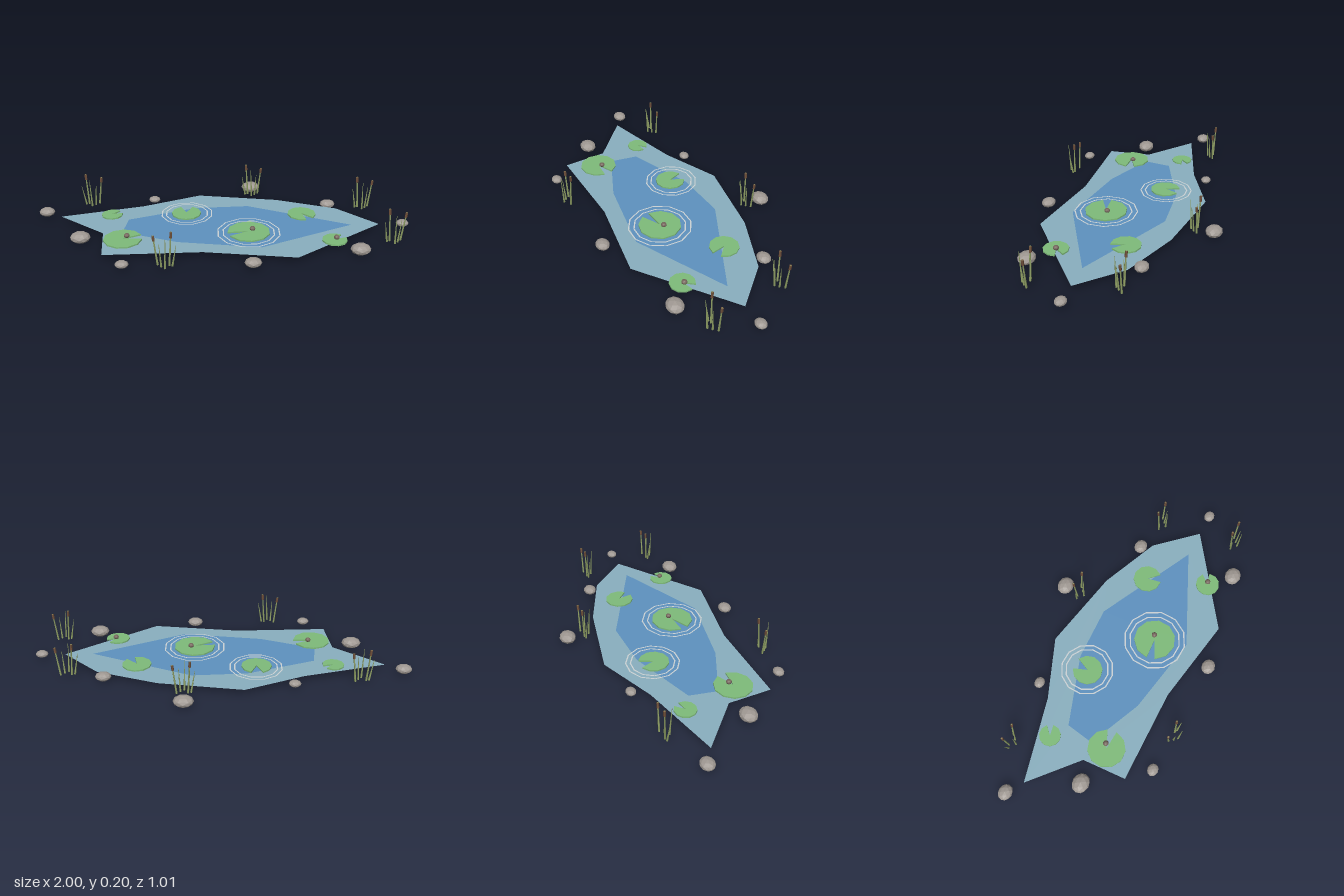
import * as THREE from 'three';

const mat = (name, color, double) => {
  const m = new THREE.MeshStandardMaterial({ color, flatShading: true });
  m.name = name;
  if (double) m.side = THREE.DoubleSide;
  return m;
};

export function createModel() {
  const pond = new THREE.Group();
  pond.name = 'pond';
  const shallow = mat('shallowWater', 0x8ab0c0, true);
  const deep = mat('deepWater', 0x5e92c0, true);
  const leaf = mat('lilyGreen', 0x7fbc7a);
  const stone = mat('stoneGrey', 0x9f9892);
  const reed = mat('reedGreen', 0x8c9c62);
  const brown = mat('cattailBrown', 0x70503a);
  const foam = mat('rippleGrey', 0xcdd3d6, true);
  const bud = mat('budBrown', 0x77685e);

  const add = (name, geometry, material, parent = pond) => {
    const mesh = new THREE.Mesh(geometry, material);
    mesh.name = name;
    parent.add(mesh);
    return mesh;
  };
  const WATER = 0.027;

  // Water: a shallow rim around a deep middle, points given as [x, z]
  const outline = [[-0.87, -0.085], [-0.43, -0.21], [-0.12, -0.35], [0.32, -0.28], [0.64, -0.16],
    [0.84, 0.04], [0.37, 0.4], [-0.1, 0.335], [-0.6, 0.355], [-0.62, 0.12]];
  const middle = [[-0.5, -0.04], [-0.14, -0.18], [0.15, -0.2], [0.69, 0.045],
    [0.2, 0.29], [-0.23, 0.225], [-0.52, 0.11]];
  const toPoints = (list) => list.map(([x, z]) => new THREE.Vector2(x, -z)).reverse();
  const flat = (shape) => new THREE.ShapeGeometry(shape).rotateX(-Math.PI / 2);
  const rim = new THREE.Shape(toPoints(outline));
  rim.holes.push(new THREE.Path(toPoints(middle)));
  add('shallowWater', flat(rim), shallow).position.y = WATER;
  add('deepWater', flat(new THREE.Shape(toPoints(middle))), deep).position.y = WATER;

  // Lily pads: x, z, radius, notch direction in degrees, half notch angle
  const pads = [
    [0.14, 0.125, 0.112, 197, 0.2], [-0.19, -0.105, 0.08, 90, 0.4],
    [-0.595, -0.095, 0.057, 30, 0.3], [-0.51, 0.195, 0.1, 12, 0.25],
    [0.44, -0.085, 0.077, -60, 0.3], [0.575, 0.225, 0.065, 35, 0.3],
  ];
  for (const [x, z, r, degrees, gap] of pads) {
    const start = THREE.MathUtils.degToRad(degrees) + gap;
    const points = [new THREE.Vector2(0, 0)];
    const sides = 10;
    for (let i = 0; i <= sides; i++) {
      const a = start + (i / sides) * (Math.PI * 2 - gap * 2);
      points.push(new THREE.Vector2(Math.cos(a) * r, Math.sin(a) * r));
    }
    const g = new THREE.ExtrudeGeometry(new THREE.Shape(points), { depth: 0.008, bevelEnabled: false });
    add('lilyPad', g.rotateX(-Math.PI / 2), leaf).position.set(x, 0.028, z);
  }

  // Small buds resting on three pads
  for (const [x, z] of [[0.16, 0.112], [-0.49, 0.18], [0.585, 0.22]]) {
    const b = add('lilyBud', new THREE.IcosahedronGeometry(0.015, 1), bud);
    b.position.set(x, 0.044, z);
    b.scale.y = 0.85;
  }

  // Ripples: two rings around two of the pads
  for (const [x, z, r, sides] of [[0.14, 0.125, 0.169, 12], [-0.187, -0.11, 0.143, 12]]) {
    for (const size of [r, r * 0.83]) {
      const ring = new THREE.RingGeometry(size - 0.007, size, sides, 1, Math.PI / 12);
      add('ripple', ring.rotateX(-Math.PI / 2), foam).position.set(x, WATER + 0.0015, z);
    }
  }

  // Stones: x, z, radius
  const stones = [
    [0.18, -0.463, 0.052], [-0.375, -0.293, 0.032], [-0.957, -0.14, 0.043],
    [-0.73, 0.17, 0.053], [-0.49, 0.457, 0.034], [0.145, 0.45, 0.043],
    [0.69, 0.325, 0.052], [0.965, 0.037, 0.034], [0.6, -0.215, 0.042],
  ];
  for (const [x, z, r] of stones) {
    const s = add('stone', new THREE.IcosahedronGeometry(r, 1), stone);
    s.position.set(x, 0.031, z);
    s.scale.set(1, 0.56, 0.85);
  }

  // Reeds: a tapered stem between two points, some carrying a cattail head
  const up = new THREE.Vector3(0, 1, 0);
  const rod = (name, from, to, bottom, top, material, parent) => {
    const dir = to.clone().sub(from);
    const g = new THREE.CylinderGeometry(top, bottom, dir.length(), 5);
    const m = add(name, g, material, parent);
    m.position.copy(from).add(to).multiplyScalar(0.5);
    m.quaternion.setFromUnitVectors(up, dir.normalize());
  };
  // base x, base z, tip x, tip z, height, has a head
  const stems = [
    [-0.035, 0.0, -0.055, 0.008, 0.115, false], [-0.02, -0.005, -0.032, -0.012, 0.178, true],
    [0.0, 0.025, -0.006, 0.034, 0.16, false], [0.018, 0.008, 0.026, 0.015, 0.125, false],
    [0.036, -0.012, 0.055, -0.012, 0.158, true],
  ];
  const clumps = [[-0.72, -0.25, 1], [0.18, -0.37, 1], [0.785, -0.18, 1], [0.875, 0.235, 1], [-0.28, 0.467, -1]];
  for (const [x, z, flip] of clumps) {
    const clump = new THREE.Group();
    clump.name = 'reedClump';
    clump.position.set(x, WATER - 0.002, z);
    pond.add(clump);
    for (const [bx, bz, tx, tz, h, head] of stems) {
      const from = new THREE.Vector3(bx * flip, 0, bz);
      const to = new THREE.Vector3(tx * flip, h, tz);
      rod('reedStem', from, to, 0.0055, head ? 0.003 : 0.001, reed, clump);
      if (head) {
        rod('cattailHead', from.clone().lerp(to, 0.82), from.clone().lerp(to, 0.99), 0.0068, 0.0068, brown, clump);
      }
    }
  }
  return pond;
}
